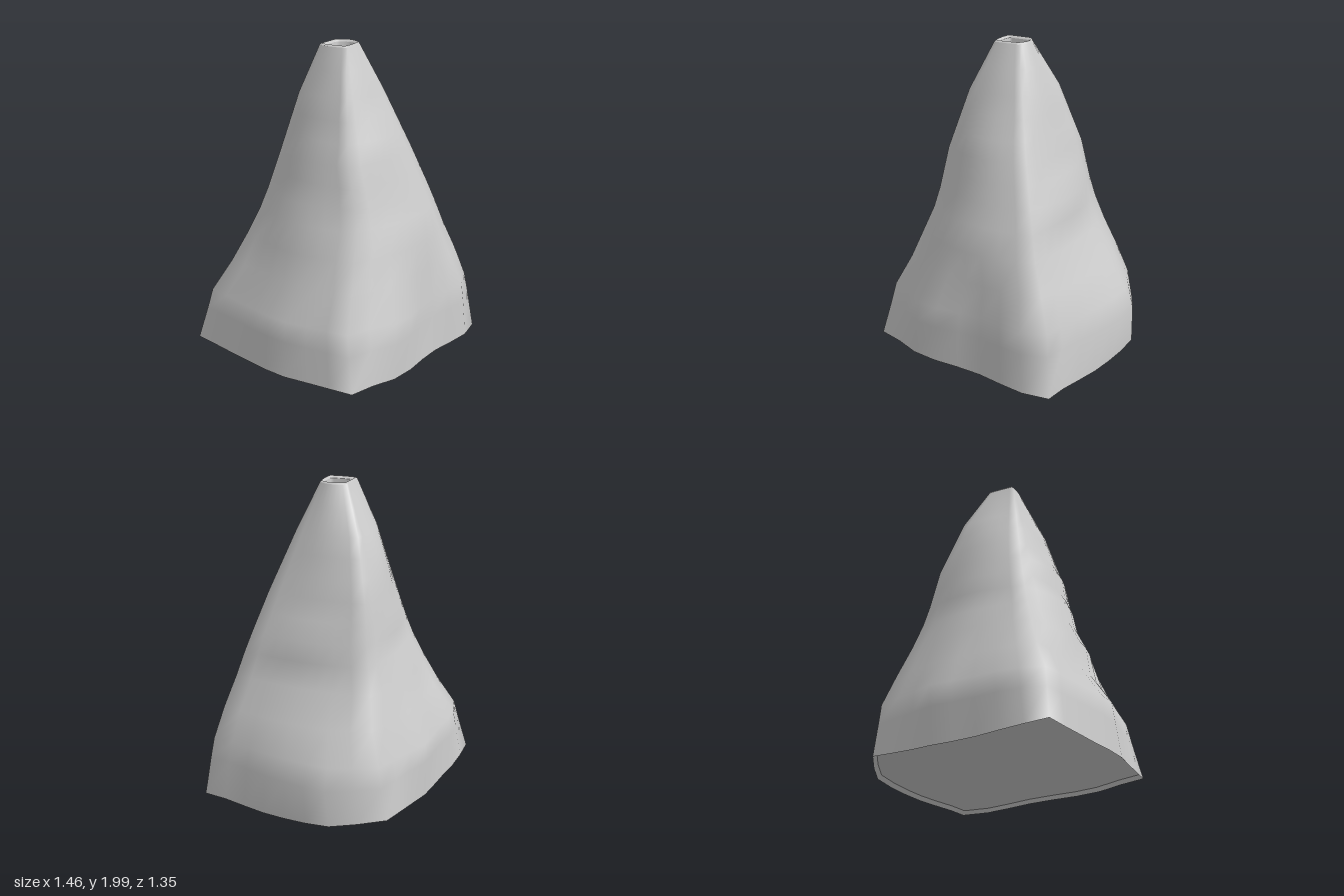
import * as THREE from 'three';

const { lerp, smoothstep } = THREE.MathUtils;
const material = new THREE.MeshStandardMaterial({ color: 0xcccccc });
const SEGMENTS = 8; // per side

// Four ridges from ground to crest, as (x, z) at these heights
const ridgeHeights = [0.04, 0.4, 0.6, 0.8, 1.0, 1.33, 1.7, 2.0];
const ridges = [
  // -x, -z
  [[-0.67, -0.67], [-0.61, -0.59], [-0.51, -0.5], [-0.43, -0.42], [-0.36, -0.35], [-0.28, -0.27], [-0.2, -0.18], [-0.115, -0.08]],
  // +x, -z
  [[0.53, -0.61], [0.53, -0.55], [0.48, -0.48], [0.4, -0.43], [0.34, -0.38], [0.28, -0.33], [0.17, -0.23], [0.05, -0.09]],
  // +x, +z
  [[0.67, 0.61], [0.62, 0.56], [0.55, 0.52], [0.47, 0.47], [0.41, 0.42], [0.3, 0.32], [0.18, 0.19], [0.07, 0.075]],
  // -x, +z
  [[-0.66, 0.59], [-0.6, 0.51], [-0.5, 0.46], [-0.42, 0.42], [-0.34, 0.38], [-0.31, 0.29], [-0.21, 0.2], [-0.09, 0.095]],
];

// Height, then reach of the faces towards -z, +x, +z and -x
const levels = [
  [0.04, 0.68, 0.73, 0.67, 0.735],
  [0.27, 0.68, 0.73, 0.665, 0.71],
  [0.4, 0.68, 0.68, 0.66, 0.695],
  [0.6, 0.555, 0.595, 0.59, 0.56],
  [0.79, 0.515, 0.475, 0.57, 0.54],
  [0.95, 0.425, 0.44, 0.505, 0.46],
  [1.08, 0.41, 0.435, 0.46, 0.44],
  [1.2, 0.385, 0.365, 0.42, 0.375],
  [1.33, 0.355, 0.335, 0.38, 0.37],
  [1.45, 0.33, 0.29, 0.34, 0.3],
  [1.58, 0.29, 0.255, 0.27, 0.275],
  [1.7, 0.235, 0.215, 0.225, 0.22],
  [1.85, 0.155, 0.16, 0.16, 0.17],
  [1.99, 0.09, 0.1, 0.095, 0.115],
];
const outward = [[0, -1], [1, 0], [0, 1], [-1, 0]];

// Lumpy bulge of each face near the ground, from ridge to ridge
const lumps = [
  [0, 0.5, 0.75, 0.7, 0.85, 1, 0.6, 0.3],
  [0, 0.65, 1.15, 1.1, 0.95, 0.75, 0.45, 0.15],
  [0, 0.65, 0.6, 0.45, 0.65, 1, 1, 0.35],
  [0, 0.3, 0.6, 0.95, 0.9, 0.65, 0.45, 0.2],
];

// Uneven ground edge: heights at each corner and each face middle
const groundCorner = [0.06, 0.06, 0.015, 0.06];
const groundMiddle = [0.03, 0.015, 0.035, 0.05];

function ridgeAt(ridge, y) {
  const k = Math.max(1, ridgeHeights.findIndex((h) => h >= y));
  const t = (y - ridgeHeights[k - 1]) / (ridgeHeights[k] - ridgeHeights[k - 1]);
  return ridge[k].map((v, axis) => lerp(ridge[k - 1][axis], v, t));
}

// One closed section: straight between ridges, bulged out to the reach of each face
function section([y, ...reach], row) {
  const corners = ridges.map((ridge) => ridgeAt(ridge, y));
  const points = [];
  for (let side = 0; side < 4; side++) {
    const next = (side + 1) % 4;
    const a = corners[side], b = corners[next], [ox, oz] = outward[side];
    const bow = reach[side] - (ox * (a[0] + b[0]) + oz * (a[1] + b[1])) / 2;
    for (let i = 0; i < SEGMENTS; i++) {
      const t = i / SEGMENTS, arch = Math.sin(Math.PI * t);
      const bulge = bow * lerp(lumps[side][i], arch, smoothstep(y, 0.3, 0.85));
      const edge = lerp(groundCorner[side], groundCorner[next], t);
      const flat = (groundCorner[side] + groundCorner[next]) / 2;
      points.push([
        lerp(a[0], b[0], t) + ox * bulge,
        row === 0 ? edge + arch * (groundMiddle[side] - flat) : y,
        lerp(a[1], b[1], t) + oz * bulge,
      ]);
    }
  }
  return points;
}

// Skin a stack of closed sections
function loft(name, rings) {
  const n = rings[0].length, index = [];
  for (let r = 0; r < rings.length - 1; r++) {
    for (let i = 0; i < n; i++) {
      const a = r * n + i, b = r * n + (i + 1) % n;
      index.push(a, a + n, b, b, a + n, b + n);
    }
  }
  const geometry = new THREE.BufferGeometry();
  geometry.setAttribute('position', new THREE.Float32BufferAttribute(rings.flat(2), 3));
  geometry.setIndex(index);
  geometry.computeVertexNormals();
  const mesh = new THREE.Mesh(geometry, material);
  mesh.name = name;
  return mesh;
}

export function createModel() {
  const group = new THREE.Group();
  group.name = 'hollowPeak';

  const walls = levels.map(section);
  const base = walls[0], crest = walls[walls.length - 1];
  group.add(loft('slopes', walls));

  // Underside: a floor set slightly up inside the skirt
  const sole = base.map(([x, y, z]) => [x * 0.97, y + 0.025, z * 0.97]);
  group.add(loft('skirtInside', [sole, base]));
  group.add(loft('underside', [sole.map(() => [0, 0.06, 0]), sole]));

  // Vent: rounded rim, tapering shaft and a flat bottom
  const inset = (sx, sz, dx, dz, y) => crest.map(([x, , z]) => [x * sx + dx, y, z * sz + dz]);
  const rim = inset(0.92, 0.92, 0, 0, 2);
  const lip = inset(0.82, 0.82, 0, 0, 1.985);
  const pit = inset(0.5, 0.62, -0.018, 0.005, 1.76);
  group.add(loft('ventRim', [crest, rim, lip]));
  group.add(loft('ventShaft', [lip, pit]));
  group.add(loft('ventFloor', [pit, pit.map(() => [-0.018, 1.76, 0.005])]));

  return group;
}
